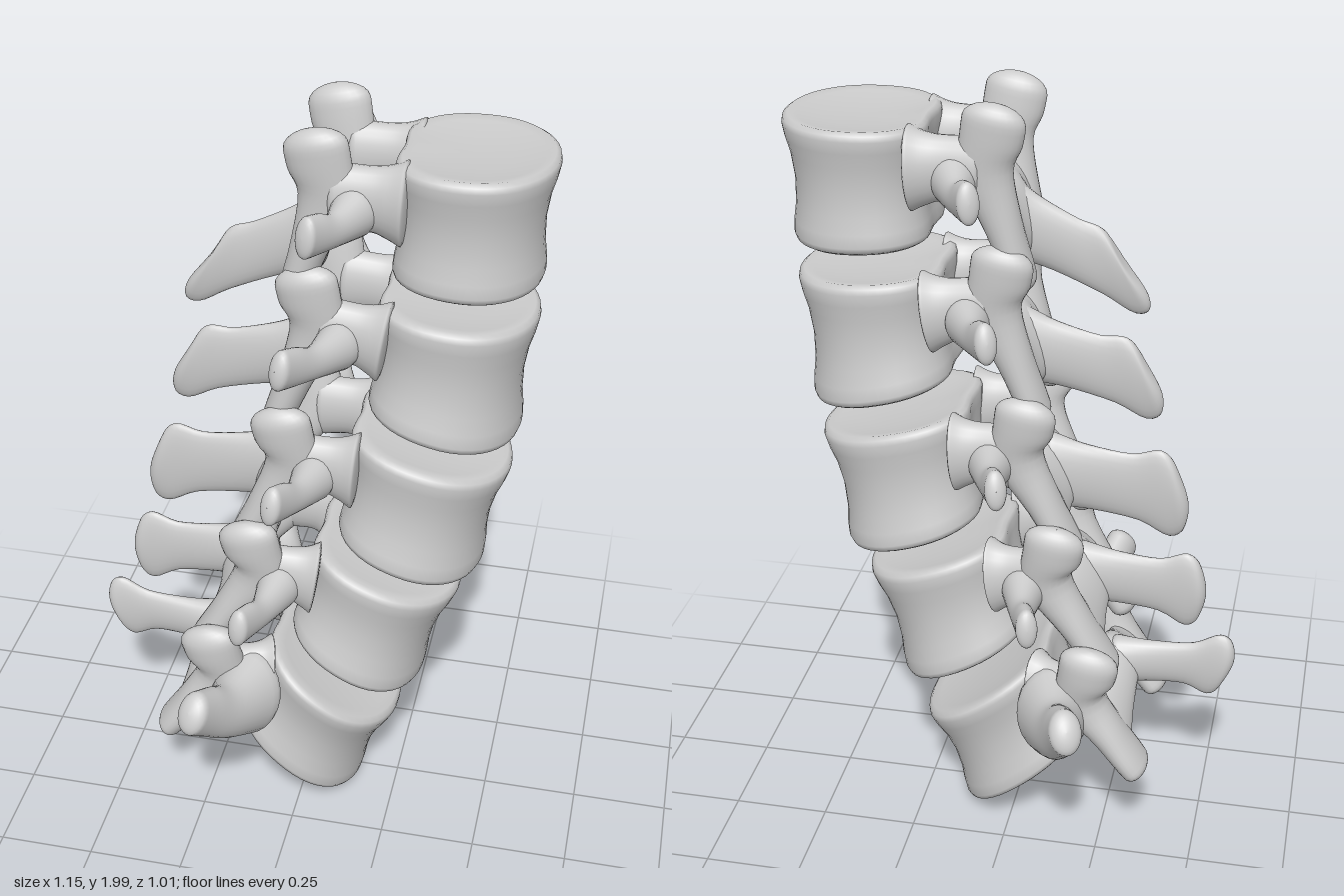
import * as THREE from 'three';
import { mergeVertices } from 'three/addons/utils/BufferGeometryUtils.js';

const V = (x, y, z = 0) => new THREE.Vector3(x, y, z);
const material = new THREE.MeshStandardMaterial({ color: 0xcccccc });

function addMesh(parent, name, geometry) {
  const mesh = new THREE.Mesh(geometry, material);
  mesh.name = name;
  parent.add(mesh);
}

// Smooth solid through elliptical sections {c, a, b}, rounded off at both ends
function loft(sections, cap = 0.1, rows = 30, sides = 24) {
  const curves = ['c', 'a', 'b'].map(k => new THREE.CatmullRomCurve3(sections.map(s => s[k]), false, 'catmullrom', 0.5));
  const pos = [], index = [];
  for (let i = 0; i <= rows; i++) {
    const t = (1 - Math.cos(Math.PI * i / rows)) / 2;
    const [c, a, b] = curves.map(k => k.getPoint(t));
    const d = Math.min(1, Math.min(t, 1 - t) / cap);
    const k = Math.max(0.01, Math.sqrt(1 - (1 - d) ** 2));
    if (a.clone().cross(b).dot(curves[0].getTangent(t)) < 0) b.negate();
    for (let j = 0; j < sides; j++) {
      const q = j / sides * Math.PI * 2;
      const p = c.clone().addScaledVector(a, k * Math.cos(q)).addScaledVector(b, k * Math.sin(q));
      pos.push(p.x, p.y, p.z);
      if (i < rows) {
        const n = (j + 1) % sides, r = i * sides, s = r + sides;
        index.push(r + j, r + n, s + n, r + j, s + n, s + j);
      }
    }
  }
  const g = new THREE.BufferGeometry();
  g.setAttribute('position', new THREE.Float32BufferAttribute(pos, 3));
  g.setIndex(index);
  g.computeVertexNormals();
  return g;
}

// Sections square to a path; radii are [along hint, across hint]
function limb(points, radii, hint, cap) {
  return loft(points.map((c, i) => {
    const t = points[Math.min(i + 1, points.length - 1)].clone().sub(points[Math.max(i - 1, 0)]).normalize();
    const a = hint.clone().addScaledVector(t, -hint.dot(t)).normalize();
    const b = t.clone().cross(a).multiplyScalar(radii[i][1]);
    return { c, a: a.multiplyScalar(radii[i][0]), b };
  }), cap);
}

// Waisted drum with dished ends, flattened and notched at the back
function bodyGeometry({ top, bottom, w }) {
  const rim = [[0, 0.05], [0.5, 0.04], [0.8, 0.015], [0.92, 0], [0.98, 0.025], [1, 0.07], [0.98, 0.17], [0.935, 0.3]];
  const profile = [...rim, [0.91, 0.5], ...rim.map(([r, y]) => [r, 1 - y]).reverse()];
  let g = new THREE.LatheGeometry(profile.map(p => new THREE.Vector2(...p)), 48);
  const p = g.attributes.position, L = THREE.MathUtils.lerp;
  for (let i = 0; i < p.count; i++) {
    let x = p.getX(i), z = p.getZ(i);
    const v = p.getY(i), r = Math.hypot(x, z);
    if (r > 1e-5) {
      const c = x / r, s = z / r, n = c < 0 ? 2.35 : 2.08;
      const f = (Math.abs(c) ** n + Math.abs(s) ** n) ** (-1 / n);
      x *= f;
      z *= f;
      if (c < 0) x += 0.13 * r * r * c * c * Math.exp(-((s / 0.45) ** 2));
    }
    const u = (x + 1) / 2;
    p.setXYZ(i,
      L(L(bottom[0], bottom[2], u), L(top[0], top[2], u), v),
      L(L(bottom[1], bottom[3], u), L(top[1], top[3], u), v),
      z * L(w[1], w[0], v));
  }
  g.deleteAttribute('normal');
  g.deleteAttribute('uv');
  g = mergeVertices(g, 1e-5);
  g.computeVertexNormals();
  return g;
}

// top/bottom: back x,y then front x,y of the body; w: half widths
// joint, inf: side view x,y; wing: tip x,y,z; spine: root x,y, tip x,y, half height
const levels = [
  { top: [0.19, 1.93, 0.575, 1.93], bottom: [0.19, 1.64, 0.555, 1.62], w: [0.205, 0.205],
    joint: [0.06, 1.83], inf: [-0.03, 1.54], wing: [0.05, 1.83, 0.335], spine: [0.05, 1.7, -0.29, 1.54, 0.1] },
  { top: [0.16, 1.57, 0.555, 1.54], bottom: [0.14, 1.29, 0.525, 1.2], w: [0.205, 0.225],
    joint: [0.04, 1.49], inf: [-0.07, 1.2], wing: [0, 1.52, 0.39], spine: [0.02, 1.365, -0.345, 1.27, 0.095] },
  { top: [0.1, 1.21, 0.515, 1.11], bottom: [0.07, 0.91, 0.45, 0.79], w: [0.205, 0.225],
    joint: [-0.02, 1.11], inf: [-0.16, 0.84], wing: [-0.02, 1.15, 0.4], spine: [-0.045, 1.015, -0.43, 0.96, 0.1] },
  { top: [0.01, 0.86, 0.405, 0.72], bottom: [-0.05, 0.59, 0.305, 0.4], w: [0.215, 0.23],
    joint: [-0.1, 0.78], inf: [-0.27, 0.51], wing: [-0.1, 0.79, 0.43], spine: [-0.135, 0.72, -0.49, 0.685, 0.083] },
  { top: [-0.1, 0.54, 0.255, 0.29], bottom: [-0.2, 0.28, 0.14, 0], w: [0.245, 0.22],
    joint: [-0.2, 0.46], inf: [-0.36, 0.24], wing: [-0.21, 0.55, 0.49], spine: [-0.23, 0.45, -0.57, 0.47, 0.068] },
];

function vertebra(d, level) {
  const group = new THREE.Group();
  const last = level === 4, k = 0.95 + 0.06 * level;
  group.name = 'vertebra' + (level + 1);
  addMesh(group, 'vertebralBody', bodyGeometry(d));

  // Landmarks of one side, spreading outward down the column
  const J = V(...d.joint, 0.12 + 0.0056 * level ** 2);
  const S = J.clone().add(V(-0.03, 0.17, 0.015 + 0.006 * level));
  const I = V(...d.inf, J.z - 0.02 + 0.002 * level);
  const T = V(...d.wing);
  const P = V(d.top[0], d.top[1]).lerp(V(d.bottom[0], d.bottom[1]), 0.34).add(V(0.06, 0, 0.12 + 0.01 * level));
  const mid = J.clone().lerp(I, 0.45);

  // Blade-like rear process, flaring more toward its tip on lower levels
  const [rx, ry, tx, ty, h] = d.spine;
  const flare = 1 + 0.08 * level, lean = 0.05 * (1 - level / 3);
  addMesh(group, 'spinousProcess', loft([
    [0, 1.1, 0.06], [0.16, 1, 0.045], [0.35, 0.92, 0.03], [0.65, 0.95, 0.021], [0.86, 1.05 * flare, 0.025], [1, 0.62 * flare, 0.03],
  ].map(([f, s, t]) => ({
    c: V(rx, ry).lerp(V(tx, ty), f), a: V(lean * f, h * s), b: V(0, 0, t),
  })), 0.12));

  // Arch plate joining both sides behind the canal
  const half = last ? 0.075 : 0.105;
  const flip = p => V(p.x, p.y, -p.z);
  const root = V(rx - 0.035, ry);
  const side = mid.clone().lerp(root, 0.45);
  addMesh(group, 'lamina', limb([mid, side, root, flip(side), flip(mid)],
    [[half * 1.1, 0.038], [half, 0.034], [half, 0.05], [half, 0.034], [half * 1.1, 0.038]],
    J.clone().sub(I).setZ(0).normalize(), 0.08));

  for (const s of [1, -1]) {
    const label = s > 0 ? 'left' : 'right';
    const at = p => V(p.x, p.y, p.z * s);

    // Flares where it grows out of the body
    const bridge = P.clone().lerp(J, 0.5).add(V(0, 0.005, 0));
    addMesh(group, label + 'Pedicle', limb([P, P.clone().lerp(bridge, 0.5), bridge, J].map(at),
      [[0.11, 0.075], [0.088, 0.055], [0.08, 0.046], [0.09, 0.05]], V(0, 1, 0), 0.08));

    // Pillar with the upper and lower joint faces
    const neck = S.clone().lerp(J, 0.5);
    addMesh(group, label + 'ArticularPillar', limb([S, neck, J, mid, I.clone().lerp(mid, 0.4), I].map(at),
      [[0.034, 0.075], [0.042 * k, 0.075], [0.044 * k, 0.066], [0.052 * k, 0.046], [0.058 * k, 0.04], [0.054 * k, 0.036]], V(0, 0, 1)));

    // Swept wing, far stouter on the lowest level
    const base = J.clone().lerp(P, last ? 0.65 : 0.4).add(V(0, last ? -0.05 : -0.015, 0));
    const bend = base.clone().lerp(T, 0.5).add(V(0.01, last ? -0.035 : -0.015, 0));
    addMesh(group, label + 'TransverseProcess', limb([base, bend, bend.clone().lerp(T, 0.55), T].map(at),
      last ? [[0.14, 0.11], [0.08, 0.06], [0.065, 0.045], [0.055, 0.04]]
        : [[0.07, 0.065], [0.042, 0.032], [0.048, 0.027], [0.05, 0.027]], V(0, 1, 0)));
  }
  return group;
}

export function createModel() {
  const model = new THREE.Group();
  model.name = 'lumbarSpine';
  levels.forEach((d, i) => model.add(vertebra(d, i)));
  return model;
}
